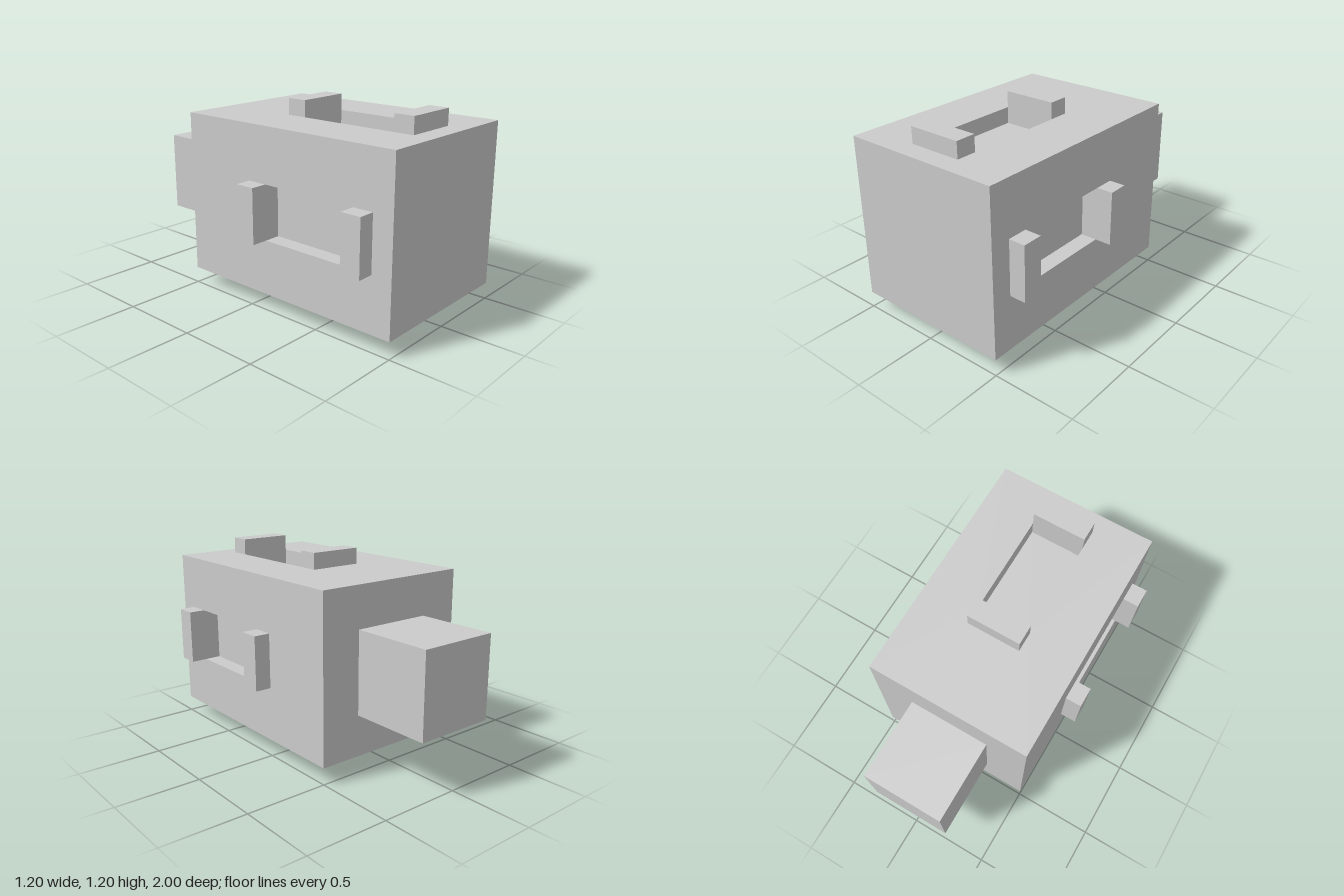
import * as THREE from 'three';

const material = new THREE.MeshStandardMaterial({ color: 0xcccccc, flatShading: true });

function add(parent, name, geometry, x = 0, y = 0, z = 0) {
  const mesh = new THREE.Mesh(geometry, material);
  mesh.name = name;
  mesh.position.set(x, y, z);
  parent.add(mesh);
  return mesh;
}

// Rectangle outline centred on (0, y)
function rect(path, w, h, y) {
  path.moveTo(-w / 2, y - h / 2);
  path.lineTo(w / 2, y - h / 2);
  path.lineTo(w / 2, y + h / 2);
  path.lineTo(-w / 2, y + h / 2);
  path.closePath();
  return path;
}

// Inward-facing box without its +z lid
function pocket(w, h, d) {
  const geometry = new THREE.BoxGeometry(w, h, d);
  const index = Array.from(geometry.index.array);
  index.splice(24, 6);
  geometry.setIndex(index.reverse());
  geometry.clearGroups();
  geometry.computeVertexNormals();
  return geometry;
}

export function createModel() {
  const model = new THREE.Group();
  const half = 0.5, width = 1 / 3, slotLength = 0.625, post = 0.125, depth = 0.1;
  const slotY = -0.4375; // local y runs towards the back

  const body = new THREE.Group();
  body.name = 'body';
  body.position.y = 0.6;
  model.add(body);

  // Four identical sides: slotted wall, recess and two end posts
  for (let i = 0; i < 4; i++) {
    const turn = new THREE.Group();
    turn.name = 'side';
    turn.rotation.z = i * Math.PI / 2;
    body.add(turn);
    const side = new THREE.Group();
    side.name = 'sidePanel';
    side.rotation.x = -Math.PI / 2;
    turn.add(side);

    const wall = rect(new THREE.Shape(), 1, 1.5, -0.25);
    wall.holes.push(rect(new THREE.Path(), width, slotLength, slotY));
    add(side, 'wall', new THREE.ShapeGeometry(wall), 0, 0, half);
    add(side, 'recess', pocket(width, slotLength, depth), 0, slotY, half - depth / 2);
    for (const s of [-1, 1]) {
      add(side, 'post', new THREE.BoxGeometry(width, post, depth),
        0, slotY + s * (slotLength + post) / 2, half + depth / 2);
    }
  }

  // End walls and the rear block
  add(body, 'frontWall', new THREE.PlaneGeometry(1, 1), 0, 0, 1);
  add(body, 'backWall', new THREE.PlaneGeometry(1, 1), 0, 0, -0.5).rotation.y = Math.PI;
  add(body, 'rearBlock', new THREE.BoxGeometry(0.5, 0.5, 0.5), 0, 0, -0.75);

  return model;
}
